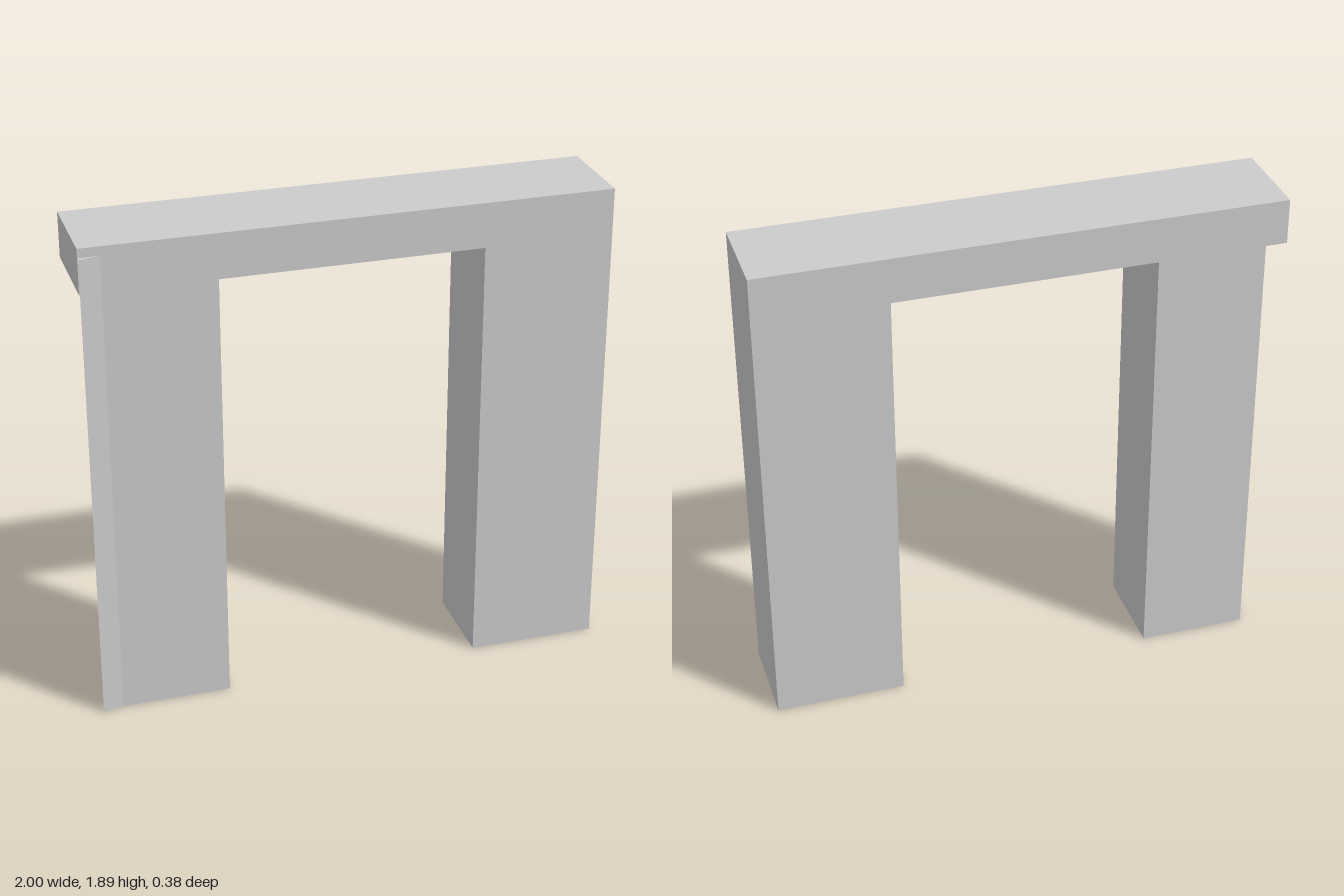
import * as THREE from 'three';

const BACK = -0.192, FRONT = 0.173, UNDERSIDE = 1.72, TOP = 1.895;

export function createModel() {
  const group = new THREE.Group();
  const material = new THREE.MeshStandardMaterial({ color: 0xcccccc, flatShading: true });

  const extrude = (points, depth) => new THREE.ExtrudeGeometry(
    new THREE.Shape(points.map(([a, b]) => new THREE.Vector2(a, b))),
    { depth, bevelEnabled: false }
  );
  const add = (name, geometry) => {
    const mesh = new THREE.Mesh(geometry, material);
    mesh.name = name;
    group.add(mesh);
  };
  // Upright prism from an [x, z] footprint
  const prism = (footprint, y0, y1) =>
    extrude(footprint.map(([x, z]) => [x, -z]), y1 - y0)
      .rotateX(-Math.PI / 2)
      .translate(0, y0, 0);

  // Lintel and the straight pillar, one L-shaped slab
  add('lintelAndStraightPillar', extrude([
    [-1, UNDERSIDE], [0.5, UNDERSIDE], [0.5, 0], [1, 0], [1, TOP], [-1, TOP],
  ], FRONT - BACK).translate(0, 0, BACK));

  // Pillar with a slanted outer end, leaving the lintel overhanging at the back
  add('slantedPillar', prism([
    [-0.5, BACK], [-0.5, FRONT], [-0.92, FRONT], [-1, 0.192], [-0.917, BACK],
  ], 0, UNDERSIDE));

  // Thin corner of that pillar rising in front of the lintel
  add('pillarCorner', prism([
    [-0.92, FRONT], [-1, 0.192], [-0.996, FRONT],
  ], UNDERSIDE, 1.86));

  return group;
}
